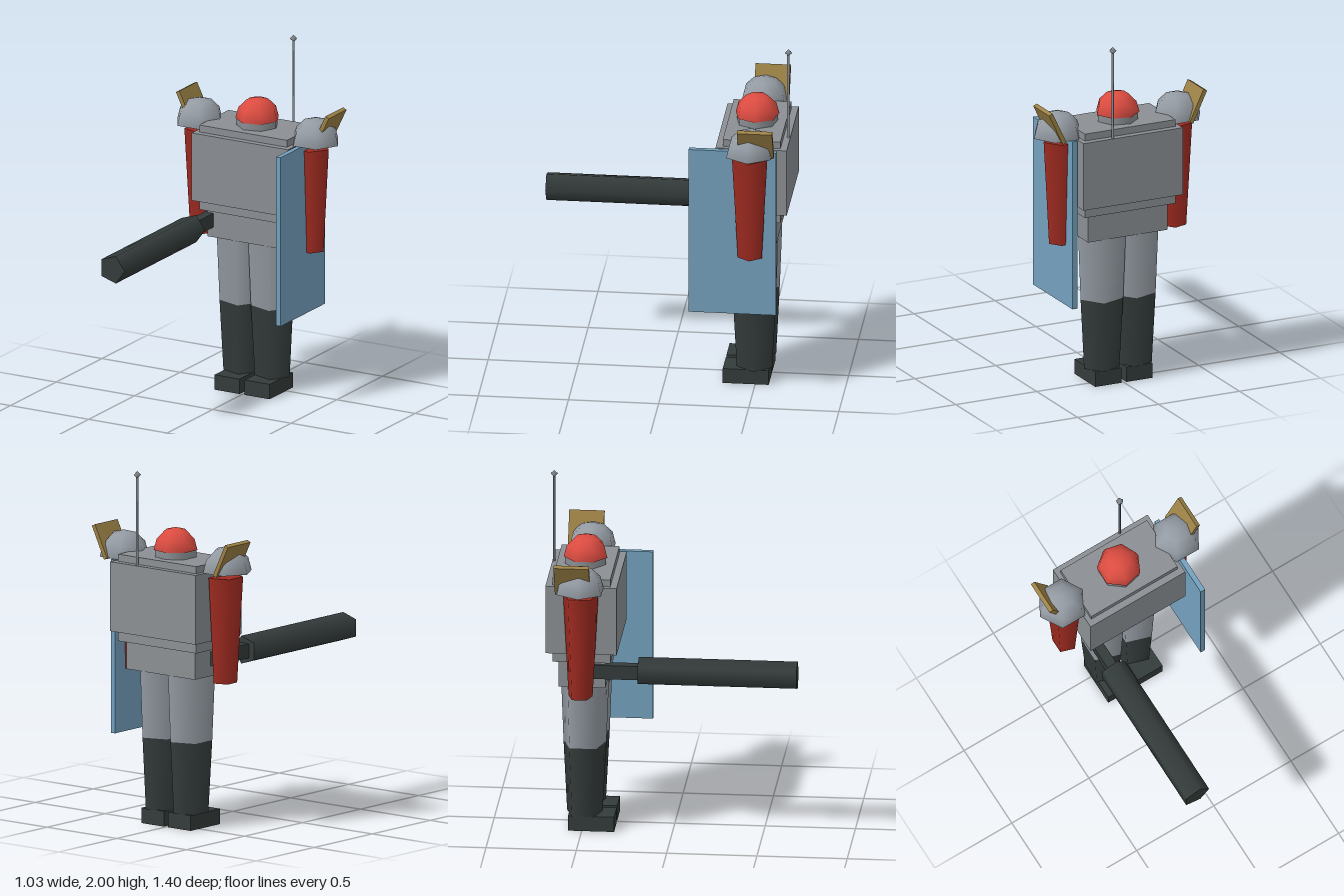
import * as THREE from 'three';
import { mergeGeometries } from 'three/addons/utils/BufferGeometryUtils.js';

const Z = -0.492; // depth of the body axis

const paint = (name, color) => {
  const m = new THREE.MeshStandardMaterial({ color });
  m.name = name;
  return m;
};

// Tapered prism with one corner pointing to +x
const prism = (rTop, rBottom, height, sides) =>
  new THREE.CylinderGeometry(rTop, rBottom, height, sides, 1, false, Math.PI / 2);

// Closed half sphere with one corner pointing to +x
function dome(r, sides) {
  const shell = new THREE.SphereGeometry(r, sides, 3, Math.PI, Math.PI * 2, 0, Math.PI / 2);
  const base = new THREE.CircleGeometry(r, sides).rotateX(Math.PI / 2);
  return mergeGeometries([shell, base]);
}

export function createModel() {
  const armour = paint('armour grey', 0x8b9094);
  const plate = paint('light grey', 0x949ba3);
  const dark = paint('dark grey', 0x343c3b);
  const red = paint('helmet red', 0xdc4c41);
  const deepRed = paint('sleeve red', 0xa02b21);
  const blue = paint('shield blue', 0x74a1be);
  const tan = paint('fin tan', 0x9c8146);

  const model = new THREE.Group();
  model.name = 'armouredTrooper';
  const add = (name, geometry, material, x, y, z) => {
    const mesh = new THREE.Mesh(geometry, material);
    mesh.name = name;
    mesh.position.set(x, y, z);
    model.add(mesh);
    return mesh;
  };
  const box = (name, material, w, h, d, x, y, z) =>
    add(name, new THREE.BoxGeometry(w, h, d), material, x, y, z);

  // Torso
  box('chest', armour, 0.614, 0.39, 0.395, 0, 1.275, Z);
  box('innerTorso', armour, 0.56, 0.488, 0.32, 0, 1.266, Z);
  box('pelvis', armour, 0.49, 0.157, 0.26, 0, 0.9435, Z);

  // Head
  add('neck', prism(0.117, 0.117, 0.045, 7), armour, 0, 1.53, Z);
  add('helmet', dome(0.124, 7), red, 0, 1.55, Z);

  for (const side of [-1, 1]) {
    const label = side > 0 ? 'left' : 'right';
    // Legs and boots
    add(label + 'Thigh', prism(0.14, 0.125, 0.375, 5), plate, side * 0.1, 0.6775, Z);
    add(label + 'Shin', prism(0.125, 0.1035, 0.405, 5), dark, side * 0.1, 0.2875, Z);
    box(label + 'Boot', dark, 0.16, 0.086, 0.255, side * 0.096, 0.043, -0.448);

    // Arms, shoulder domes and shoulder fins
    add(label + 'Arm', prism(0.103, 0.07, 0.595, 5), deepRed, side * 0.35, 1.1425, Z);
    add(label + 'Shoulder', dome(0.143, 6), plate, side * 0.37, 1.47, Z);
    const fin = box(label + 'ShoulderFin', tan, 0.024, 0.2, 0.195, side * 0.434, 1.555, -0.53);
    fin.rotation.z = -side * 0.445;
  }

  // Shield on the left arm
  box('shield', blue, 0.029, 0.975, 0.485, 0.332, 0.9825, -0.392);

  // Cannon in the right hand
  const barrel = prism(0.082, 0.082, 0.88, 5).rotateX(Math.PI / 2);
  add('cannonBarrel', barrel, dark, -0.236, 0.963, 0.26);
  box('cannonGrip', dark, 0.058, 0.08, 0.31, -0.236, 0.963, -0.33);

  // Antenna
  add('antennaRod', prism(0.007, 0.007, 0.53, 5), armour, 0.12, 1.715, -0.679);
  add('antennaTip', new THREE.SphereGeometry(0.021, 5, 2, Math.PI), armour, 0.12, 1.98, -0.679);

  return model;
}
